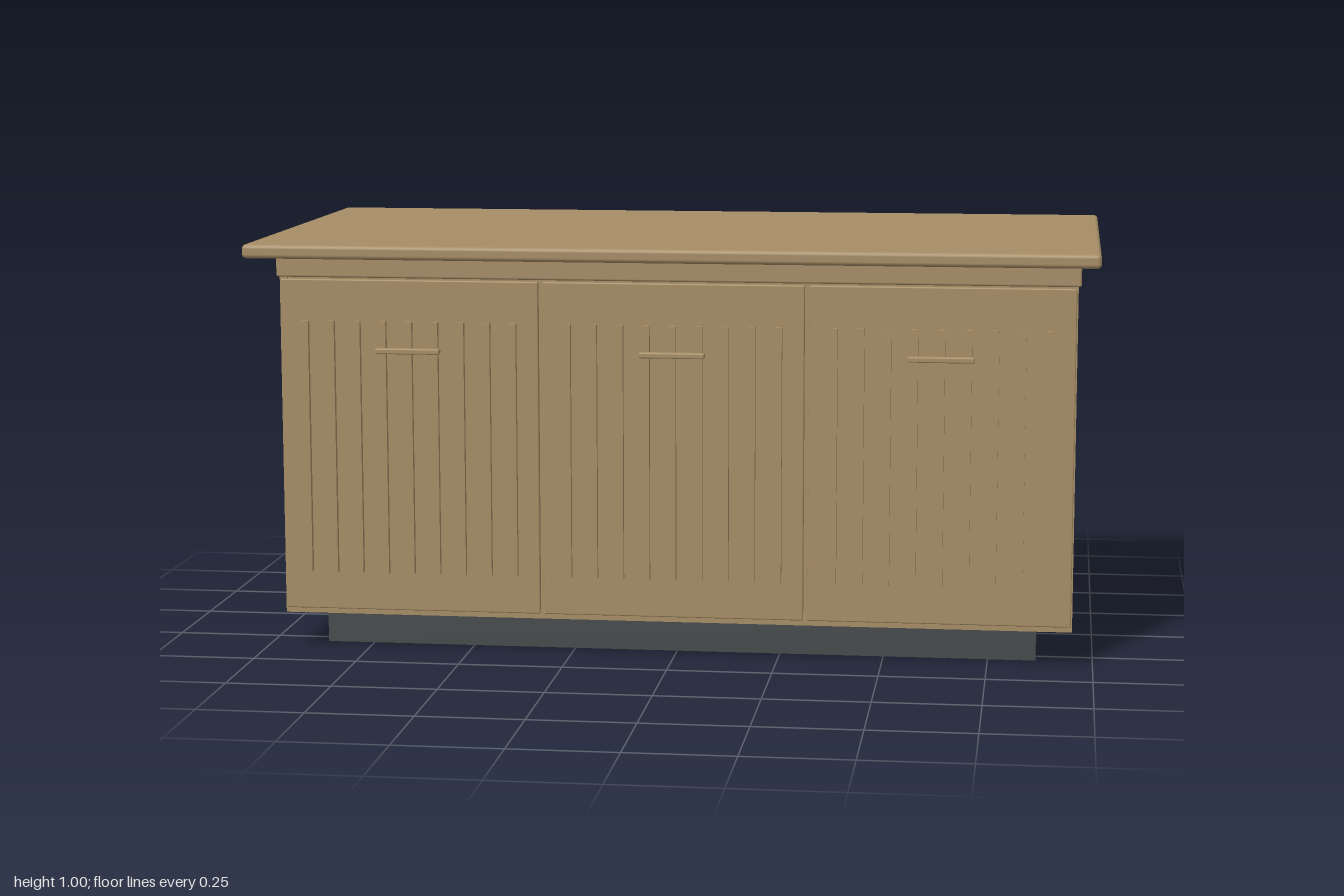
import * as THREE from 'three';
import { RoundedBoxGeometry } from 'three/addons/geometries/RoundedBoxGeometry.js';

export function createModel() {
  const model = new THREE.Group();
  model.name = 'counterCabinet';

  const wood = new THREE.MeshStandardMaterial({ color: 0xa68d66 });
  wood.name = 'wood';
  const charcoal = new THREE.MeshStandardMaterial({ color: 0x474b4b });
  charcoal.name = 'charcoal';

  // Box given by its limits on each axis; a radius rounds its edges
  function block(name, [x0, x1], [y0, y1], [z0, z1], radius = 0, material = wood, parent = model) {
    const size = [x1 - x0, y1 - y0, z1 - z0];
    const geometry = radius
      ? new RoundedBoxGeometry(...size, 3, radius)
      : new THREE.BoxGeometry(...size);
    const mesh = new THREE.Mesh(geometry, material);
    mesh.position.set((x0 + x1) / 2, (y0 + y1) / 2, (z0 + z1) / 2);
    mesh.name = name;
    parent.add(mesh);
    return mesh;
  }

  // Recessed base, worktop and the rail beneath it
  block('plinth', [-0.865, 0.865], [0, 0.088], [-0.432, 0.296], 0, charcoal);
  block('worktop', [-1, 1], [0.967, 1], [-0.53, 0.53], 0.01);
  block('topRail', [-0.957, 0.957], [0.909, 0.964], [-0.517, 0.38], 0.005);
  block('railSpacer', [-0.94, 0.94], [0.95, 0.975], [-0.5, 0.365]);

  // Carcass: sides and bottom stand proud of the core, leaving a recessed back panel
  block('carcassCore', [-0.932, 0.932], [0.106, 0.93], [-0.499, 0.362]);
  block('bottomPanel', [-0.95, 0.95], [0.088, 0.106], [-0.51, 0.372]);
  for (const s of [-1, 1]) {
    block(s > 0 ? 'leftPanel' : 'rightPanel',
      [s * 0.941 - 0.009, s * 0.941 + 0.009], [0.106, 0.93], [-0.51, 0.372]);
  }

  // Three doors, each with nine vertical slats and a bar handle
  for (const cx of [-0.635, 0, 0.635]) {
    const door = new THREE.Group();
    door.name = 'door';
    door.position.x = cx;
    model.add(door);
    block('doorPanel', [-0.312, 0.312], [0.1, 0.904], [0.358, 0.375], 0.003, wood, door);
    for (let i = -4; i <= 4; i++) {
      const x = i * 0.063;
      block('slat', [x - 0.008, x + 0.008], [0.193, 0.805], [0.37, 0.389], 0, wood, door);
    }
    block('handle', [-0.078, 0.078], [0.73, 0.743], [0.387, 0.408], 0.003, wood, door);
  }

  return model;
}
